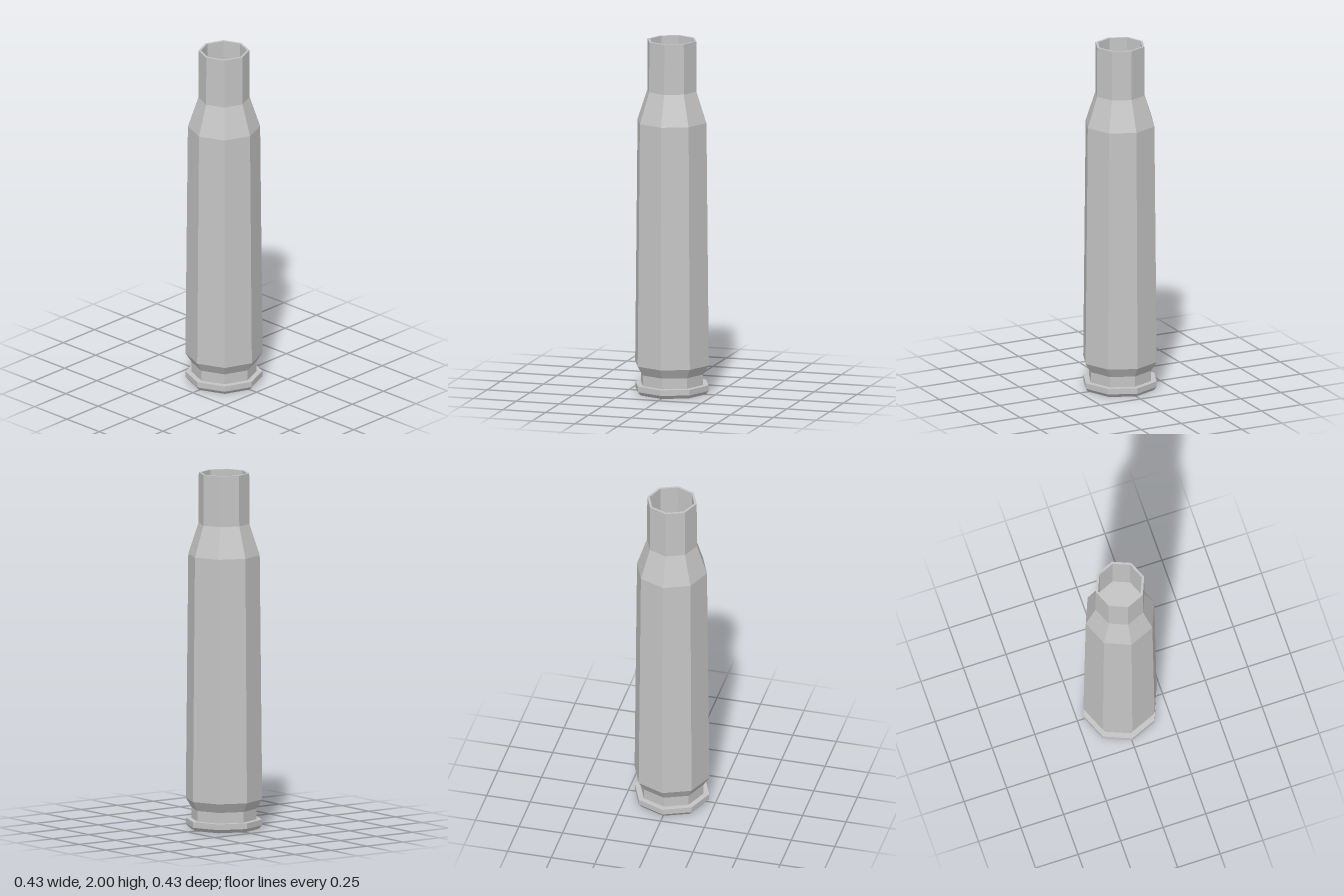
import * as THREE from 'three';

const metal = new THREE.MeshStandardMaterial({ color: 0xc4c4c4 });
metal.name = 'grey metal';

// Eight-sided faceted ring of surfaces from a [radius, height] profile
function facetedLathe(name, profile) {
  const points = profile.map(([r, y]) => new THREE.Vector2(r, y));
  const geometry = new THREE.LatheGeometry(points, 8).toNonIndexed();
  geometry.computeVertexNormals();
  const mesh = new THREE.Mesh(geometry, metal);
  mesh.name = name;
  return mesh;
}

export function createModel() {
  const group = new THREE.Group();
  group.name = 'cartridgeCase';

  // Shallow primer pocket sunk into the base
  group.add(facetedLathe('primerPocket', [[0, 0.014], [0.088, 0.014], [0.105, 0]]));

  // Base plate and chamfered rim
  group.add(facetedLathe('rim', [[0.105, 0], [0.197, 0], [0.214, 0.02], [0.214, 0.052], [0.182, 0.052]]));

  // Extractor groove below the body
  group.add(facetedLathe('extractorGroove', [[0.182, 0.052], [0.182, 0.112], [0.215, 0.165]]));

  // Slightly tapered body, shoulder and neck
  group.add(facetedLathe('body', [[0.215, 0.165], [0.201, 1.54]]));
  group.add(facetedLathe('shoulder', [[0.201, 1.54], [0.143, 1.715]]));
  group.add(facetedLathe('neck', [[0.143, 1.715], [0.142, 2], [0.128, 2]]));

  // Open mouth: inner wall and floor
  group.add(facetedLathe('mouthInterior', [[0.128, 2], [0.128, 1.715], [0, 1.715]]));

  return group;
}
